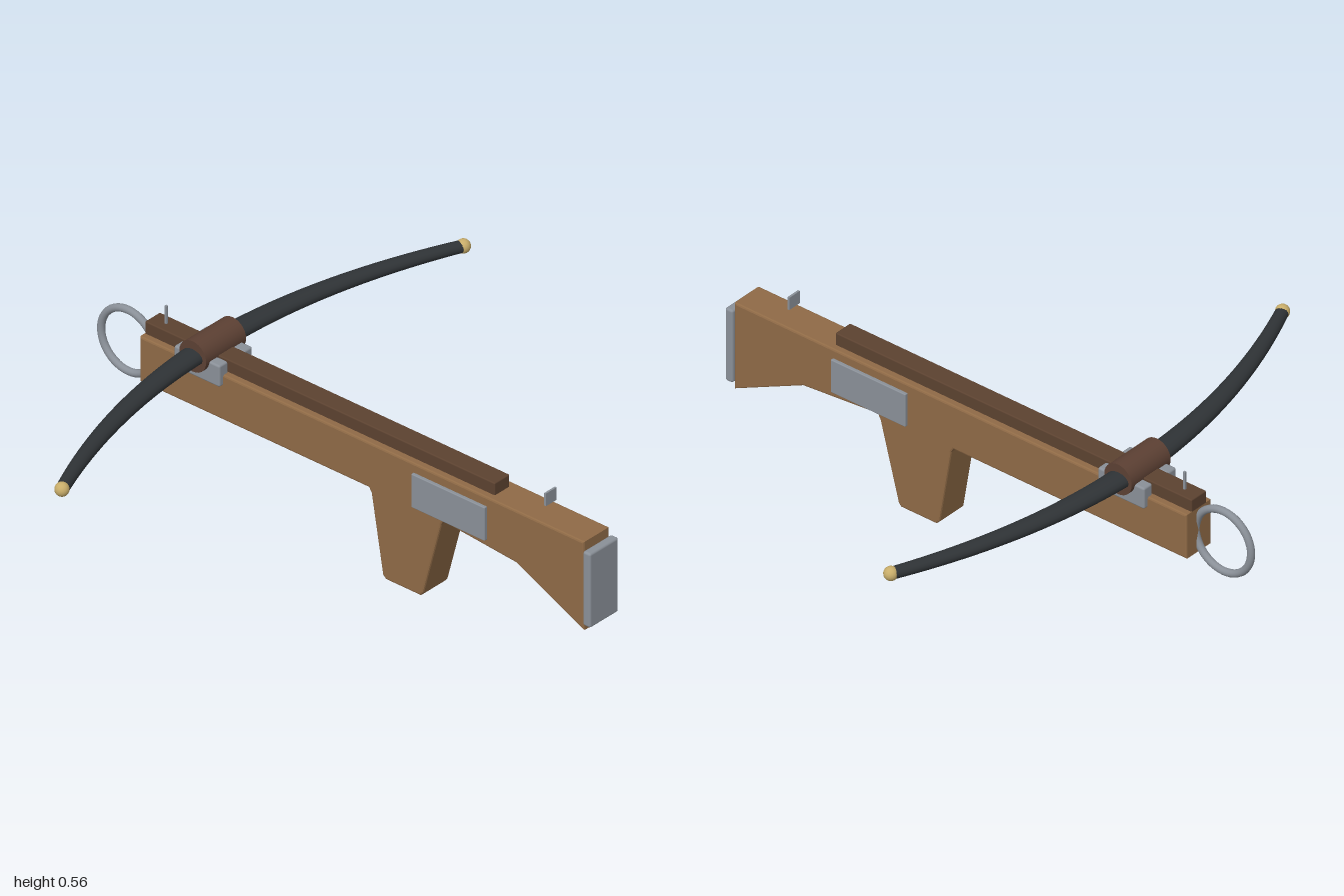
import * as THREE from 'three';
import { RoundedBoxGeometry } from 'three/addons/geometries/RoundedBoxGeometry.js';

const mat = (color) => new THREE.MeshStandardMaterial({ color });

export function createModel() {
  const model = new THREE.Group();
  const wood = mat(0x8f6a46), darkWood = mat(0x5c4230), leather = mat(0x5c4033);
  const steel = mat(0x8a9098), limbMat = mat(0x2f3336), brass = mat(0xc8ad6a);

  const add = (name, geometry, material, x = 0, y = 0, z = 0) => {
    const mesh = new THREE.Mesh(geometry, material);
    mesh.name = name;
    mesh.position.set(x, y, z);
    model.add(mesh);
    return mesh;
  };
  const block = (w, h, d, r) => new RoundedBoxGeometry(w, h, d, 2, r);

  // Stock with pistol grip: side profile in (z, y), extruded across the width
  const width = 0.116, bevel = 0.006;
  const profile = new THREE.Shape([
    [-0.785, 0.295], [0.118, 0.295], [0.128, 0.28], [0.173, 0.012], [0.185, 0],
    [0.322, 0], [0.332, 0.012], [0.403, 0.28], [0.413, 0.295], [0.7, 0.27],
    [0.967, 0.143], [0.967, 0.452], [-0.785, 0.452],
  ].map(([z, y]) => new THREE.Vector2(z, y)));
  const stock = new THREE.ExtrudeGeometry(profile, {
    depth: width - 2 * bevel, bevelEnabled: true, bevelSize: bevel,
    bevelThickness: bevel, bevelOffset: -bevel, bevelSegments: 2,
  });
  stock.translate(0, 0, bevel - width / 2).rotateY(-Math.PI / 2);
  add('stock', stock, wood);

  // Rail along the top and plate on the butt
  add('rail', block(0.068, 0.05, 1.38, 0.004), darkWood, 0, 0.469, -0.095);
  add('buttPlate', block(0.13, 0.26, 0.03, 0.008), steel, 0, 0.295, 0.983);

  // Side plates and limb clamps, mirrored
  for (const [side, s] of [['left', 1], ['right', -1]]) {
    add(side + 'SidePlate', block(0.014, 0.117, 0.29, 0.003), steel, s * 0.062, 0.362, 0.44);
    add(side + 'Clamp', block(0.04, 0.075, 0.18, 0.007), steel, s * 0.055, 0.453, -0.545);
    add(side + 'LimbTip', new THREE.SphereGeometry(0.023, 20, 14), brass, s * 0.905, 0.495, -0.35);
  }

  // Bow limb: tapering oval sections along a shallow curve
  const rings = 48, sides = 16, positions = [], index = [];
  for (let i = 0; i <= rings; i++) {
    const t = (i / rings) * 2 - 1, a = Math.abs(t);
    const slope = Math.atan2(0.4 * t, 0.905);
    const deep = 0.042 - 0.021 * a, high = 0.026 - 0.007 * a;
    for (let j = 0; j < sides; j++) {
      const q = (j / sides) * Math.PI * 2, d = deep * Math.cos(q);
      positions.push(0.905 * t - d * Math.sin(slope), 0.495 + high * Math.sin(q),
        -0.55 + 0.2 * t * t + d * Math.cos(slope));
      if (i < rings) {
        const k = (j + 1) % sides, p = i * sides;
        index.push(p + j, p + sides + j, p + k, p + k, p + sides + j, p + sides + k);
      }
    }
  }
  const limb = new THREE.BufferGeometry();
  limb.setAttribute('position', new THREE.Float32BufferAttribute(positions, 3));
  limb.setIndex(index);
  limb.computeVertexNormals();
  limbMat.side = THREE.DoubleSide;
  add('bowLimb', limb, limbMat);

  // Leather wrap around the middle of the limb
  add('limbWrap', new THREE.CylinderGeometry(0.053, 0.053, 0.18, 28).rotateZ(Math.PI / 2),
    leather, 0, 0.495, -0.547);

  // Foot stirrup ring, upright in the side plane
  add('stirrupRing', new THREE.TorusGeometry(0.107, 0.0125, 12, 48).rotateY(Math.PI / 2),
    steel, 0, 0.372, -0.88);

  // Sights
  add('rearSight', new THREE.BoxGeometry(0.048, 0.044, 0.007), steel, 0, 0.511, 0.785);
  add('frontSight', new THREE.BoxGeometry(0.008, 0.064, 0.008), steel, 0, 0.523, -0.73);

  return model;
}
